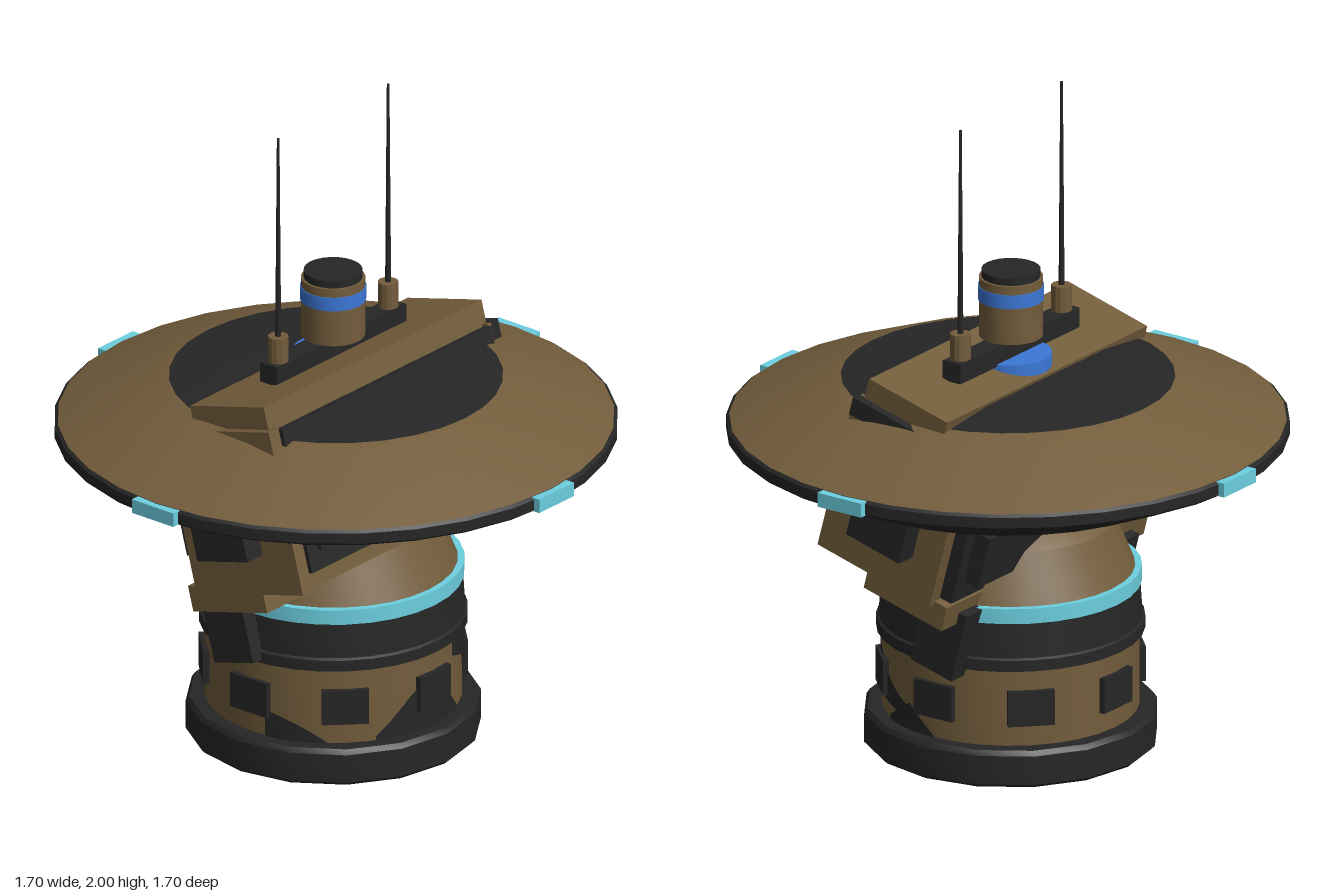
import * as THREE from 'three';
import { toCreasedNormals } from 'three/addons/utils/BufferGeometryUtils.js';

function material(name, color, side = THREE.FrontSide) {
  const m = new THREE.MeshStandardMaterial({ color, side });
  m.name = name;
  return m;
}

export function createModel() {
  const brown = material('brownPaint', 0x735d3c);
  const dark = material('darkMetal', 0x262626);
  const darkPatch = material('darkCamouflage', 0x262626, THREE.DoubleSide);
  const cyan = material('cyanLight', 0x6ccfe0);
  const blue = material('blueBand', 0x3b78d8);
  const model = new THREE.Group();
  model.name = 'turret';

  const add = (parent, name, geometry, mat) => {
    const mesh = new THREE.Mesh(geometry, mat);
    mesh.name = name;
    parent.add(mesh);
    return mesh;
  };
  const lathe = (parent, name, mat, profile, sides = 32) => {
    const points = profile.map(([r, y]) => new THREE.Vector2(r, y));
    return add(parent, name, toCreasedNormals(new THREE.LatheGeometry(points, sides), 0.5), mat);
  };
  // Box given by its limits on each axis
  const box = (parent, name, mat, [x0, x1], [y0, y1], [z0, z1]) => {
    const mesh = add(parent, name, new THREE.BoxGeometry(x1 - x0, y1 - y0, z1 - z0), mat);
    mesh.position.set((x0 + x1) / 2, (y0 + y1) / 2, (z0 + z1) / 2);
    return mesh;
  };

  // Pedestal
  const pedestal = new THREE.Group();
  pedestal.name = 'pedestal';
  pedestal.position.x = -0.013;
  model.add(pedestal);
  lathe(pedestal, 'foot', dark, [[0, 0], [0.43, 0], [0.44, 0.01], [0.44, 0.1], [0.43, 0.115], [0, 0.115]], 16);
  lathe(pedestal, 'body', brown, [[0.383, 0.11], [0.383, 0.36]], 32);
  lathe(pedestal, 'collar', dark, [[0.37, 0.355], [0.4, 0.355], [0.4, 0.39], [0.392, 0.395], [0.385, 0.505]]);
  lathe(pedestal, 'lightRing', cyan, [[0.37, 0.503], [0.39, 0.503], [0.39, 0.55], [0.36, 0.55]]);
  lathe(pedestal, 'dome', brown, [[0.37, 0.55], [0.31, 0.7], [0.22, 0.77], [0.1, 0.8], [0, 0.8]]);
  for (let i = 0; i < 8; i++) {
    const holder = new THREE.Group();
    holder.name = 'hatch';
    holder.rotation.y = i * Math.PI / 4;
    box(holder, 'hatchPlate', dark, [-0.07, 0.07], [0.18, 0.29], [0.34, 0.395]);
    pedestal.add(holder);
  }

  // Camouflage wrapped round the body; columns are [side offset, low y, high y]
  function patch(turn, columns) {
    const r = 0.387, positions = [], index = [];
    const steps = 6;
    for (let i = 0; i < columns.length - 1; i++) {
      for (let s = 0; s <= steps; s++) {
        const [d, low, high] = columns[i].map((v, k) => v + (columns[i + 1][k] - v) * s / steps);
        const a = Math.asin(d / r);
        positions.push(r * Math.cos(a), low, -r * Math.sin(a), r * Math.cos(a), high, -r * Math.sin(a));
        const n = positions.length / 3 - 4;
        if (s) index.push(n, n + 2, n + 1, n + 1, n + 2, n + 3);
      }
    }
    const g = new THREE.BufferGeometry();
    g.setAttribute('position', new THREE.Float32BufferAttribute(positions, 3));
    g.setIndex(index);
    g.computeVertexNormals();
    add(pedestal, 'camouflagePatch', g, darkPatch).rotation.y = turn;
  }
  patch(0, [[-0.2, 0.115, 0.13], [-0.1, 0.115, 0.23], [-0.02, 0.115, 0.29], [0.03, 0.115, 0.25], [0.14, 0.115, 0.12]]);
  patch(0, [[0.1, 0.3, 0.355], [0.18, 0.27, 0.355], [0.2, 0.2, 0.355], [0.25, 0.18, 0.35], [0.3, 0.17, 0.28], [0.37, 0.15, 0.19]]);
  patch(0, [[-0.383, 0.115, 0.2], [-0.355, 0.115, 0.17], [-0.31, 0.115, 0.12]]);
  patch(Math.PI / 2, [[-0.2, 0.115, 0.13], [-0.1, 0.115, 0.2], [0, 0.115, 0.12]]);

  // Dish
  const dish = new THREE.Group();
  dish.name = 'dish';
  dish.position.x = -0.003;
  model.add(dish);
  lathe(dish, 'underside', dark, [[0, 0.852], [0.58, 0.852], [0.825, 0.962], [0.838, 0.972], [0.838, 1.005], [0.828, 1.013]]);
  lathe(dish, 'upperShell', brown, [[0.828, 1.013], [0.53, 1.138], [0.497, 1.146]]);
  lathe(dish, 'topPlate', dark, [[0.497, 1.146], [0.33, 1.168], [0, 1.168]]);
  for (let i = 0; i < 4; i++) {
    const holder = new THREE.Group();
    holder.name = 'rimLight';
    holder.rotation.y = i * Math.PI / 2;
    box(holder, 'rimLightBlock', cyan, [-0.08, 0.08], [0.968, 1.012], [0.8, 0.851]);
    dish.add(holder);
  }

  // Tilted housing that passes through the dish
  const housing = new THREE.Group();
  housing.name = 'tiltedHousing';
  housing.position.set(0.039, 0.891, 0);
  housing.rotation.z = Math.PI / 12;
  model.add(housing);
  box(housing, 'housingCore', brown, [-0.205, 0.205], [-0.25, 0.245], [-0.49, 0.49]);
  box(housing, 'topSlab', brown, [-0.105, 0.19], [0.2, 0.325], [-0.505, 0.505]);
  box(housing, 'lowerBar', brown, [-0.26, 0.035], [-0.32, -0.24], [-0.51, 0.51]);
  box(housing, 'backTopTrim', dark, [-0.1, 0.213], [0.2, 0.258], [-0.533, -0.5]);
  for (const side of [-1, 1]) {
    const span = (a, b) => side > 0 ? [a, b] : [-b, -a];
    box(housing, 'endPlate', brown, [-0.2125, 0.2125], [-0.255, 0.255], span(0.485, 0.53));
    box(housing, 'pivotBox', dark, [-0.115, 0.085], [-0.13, 0.06], span(0.52, 0.6));
    box(housing, 'legPlate', dark, [-0.29, -0.135], [-0.505, -0.28], span(0.35, 0.435));
  }
  box(housing, 'rightPanel', dark, [0.2, 0.226], [-0.2, 0.25], [-0.485, 0.485]);
  box(housing, 'rightRaisedPanel', dark, [0.22, 0.24], [-0.14, 0.2], [-0.44, 0.44]);
  box(housing, 'leftPanel', dark, [-0.255, -0.2], [-0.235, 0.1], [-0.485, 0.485]);
  box(housing, 'leftRaisedPanel', dark, [-0.305, -0.25], [-0.17, 0], [-0.44, 0.44]);

  // Sensor mast and aerials
  const mast = new THREE.Group();
  mast.name = 'mast';
  mast.position.x = -0.014;
  model.add(mast);
  lathe(mast, 'blueBase', blue, [[0.122, 1.15], [0.122, 1.222], [0, 1.222]]);
  box(mast, 'crossBar', dark, [-0.033, 0.033], [1.215, 1.277], [-0.3, 0.3]);
  lathe(mast, 'sensorDrum', brown, [[0, 1.277], [0.096, 1.277], [0.096, 1.462], [0, 1.462]], 24);
  lathe(mast, 'sensorBand', blue, [[0.09, 1.392], [0.099, 1.392], [0.099, 1.435], [0.09, 1.435]], 24);
  lathe(mast, 'sensorCap', dark, [[0.088, 1.46], [0.088, 1.485], [0, 1.485]], 24);
  for (const z of [-0.255, 0.255]) {
    lathe(mast, 'aerialSocket', brown, [[0.031, 1.275], [0.031, 1.357], [0, 1.357]], 12).position.z = z;
    lathe(mast, 'aerial', dark, [[0.009, 1.35], [0.004, 2], [0, 2]], 8).position.z = z;
  }
  return model;
}
